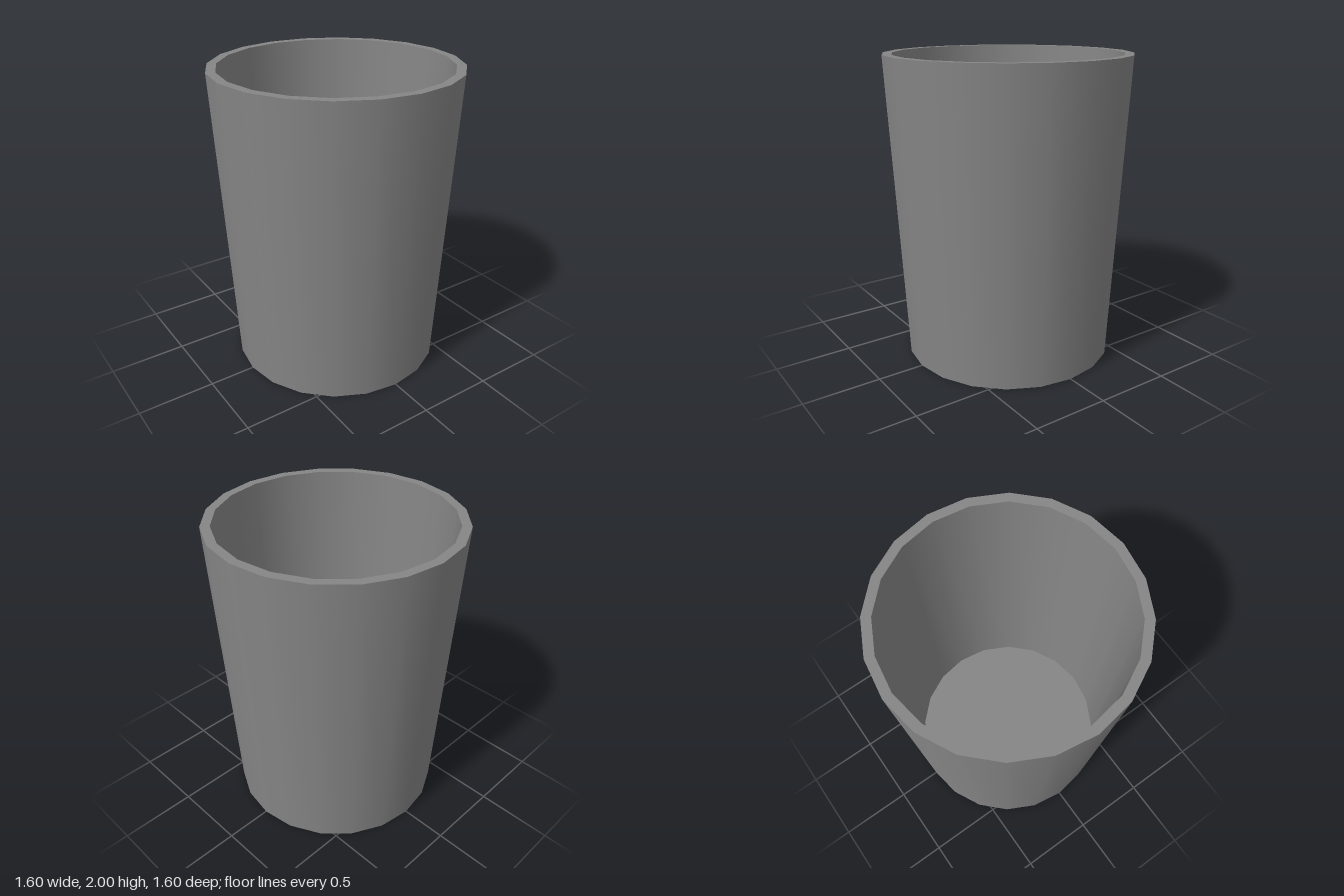
import * as THREE from 'three';

const SIDES = 20;

export function createModel() {
  const cup = new THREE.Group();
  cup.name = 'cup';
  const material = new THREE.MeshStandardMaterial({ color: 0x868686 });

  // Each section turns one straight profile line, so edges between sections stay sharp
  const addSection = (name, r0, y0, r1, y1) => {
    const profile = [new THREE.Vector2(r0, y0), new THREE.Vector2(r1, y1)];
    const mesh = new THREE.Mesh(new THREE.LatheGeometry(profile, SIDES), material);
    mesh.name = name;
    cup.add(mesh);
  };

  // Profile runs from the base centre, up the outside, over the rim and down the inside
  addSection('base', 0, 0, 0.695, 0);
  addSection('outerWall', 0.695, 0, 0.8, 2);
  addSection('rim', 0.8, 2, 0.74, 2);
  addSection('innerWall', 0.74, 2, 0.67, 0.01);
  addSection('floor', 0.67, 0.01, 0, 0.01);

  return cup;
}
